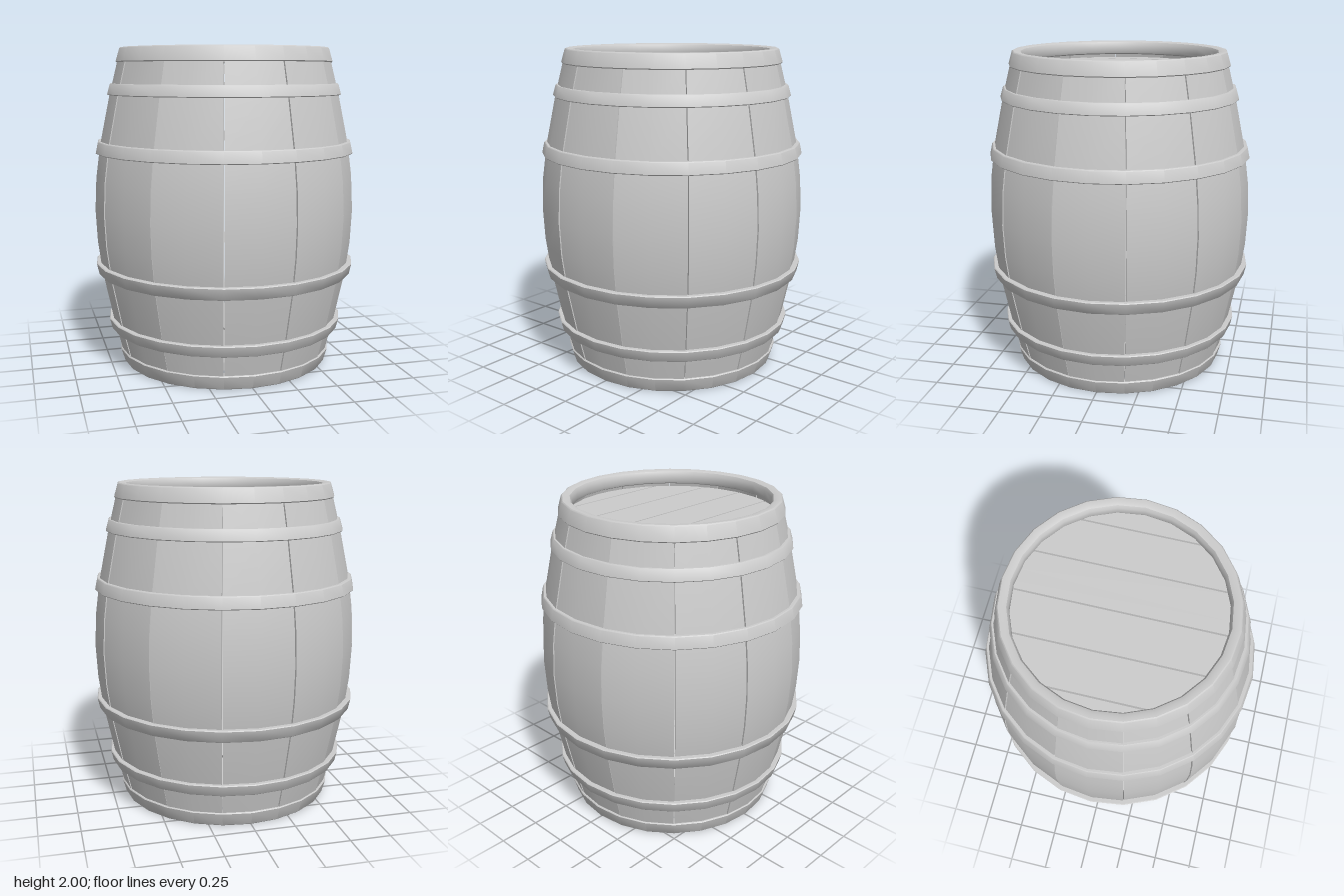
import * as THREE from 'three';
import { toCreasedNormals } from 'three/addons/utils/BufferGeometryUtils.js';

const SIDES = 24;
const STAVES = 12;

export function createModel() {
  const group = new THREE.Group();
  const material = new THREE.MeshStandardMaterial({ color: 0xcccccc });
  const add = (name, geometry) => {
    const mesh = new THREE.Mesh(geometry, material);
    mesh.name = name;
    group.add(mesh);
    return mesh;
  };

  // Barrel belly: outer radius at a distance from mid height
  const belly = [[0, 0.83], [0.2, 0.82], [0.4, 0.793], [0.7, 0.73], [0.95, 0.667]];
  const rows = [...belly.slice(1).reverse().map(([d, r]) => [1 - d, r]), ...belly.map(([d, r]) => [1 + d, r])];

  // Staves: boxes bent around the axis and along the belly
  const thickness = 0.045;
  const halfAngle = Math.PI / STAVES - 0.004;
  for (let i = 0; i < STAVES; i++) {
    const geo = new THREE.BoxGeometry(2, rows.length - 1, 1, 2, rows.length - 1, 1);
    const pos = geo.attributes.position;
    const lift = i % 2 ? 0 : -0.004;
    for (let v = 0; v < pos.count; v++) {
      const row = Math.round(pos.getY(v) + (rows.length - 1) / 2);
      const [y, outer] = rows[row];
      const r = outer + lift - (pos.getZ(v) < 0 ? thickness : 0);
      const a = pos.getX(v) * halfAngle + (i * 2 * Math.PI) / STAVES;
      pos.setXYZ(v, Math.sin(a) * r, y, Math.cos(a) * r);
    }
    geo.computeVertexNormals();
    add('stave', geo);
  }

  // Turned ring from a closed profile
  const ring = (name, profile) => {
    const points = [...profile, profile[0]].map(([r, y]) => new THREE.Vector2(r, y));
    add(name, toCreasedNormals(new THREE.LatheGeometry(points, SIDES), 0.6));
  };

  // Four sloping hoops: bottom y, top y, bottom radius, top radius
  const hoops = [
    [0.225, 0.295, 0.74, 0.755],
    [0.585, 0.66, 0.815, 0.83],
    [1.35, 1.425, 0.82, 0.806],
    [1.71, 1.78, 0.742, 0.725],
  ];
  const b = 0.005;
  for (const [y0, y1, r0, r1] of hoops) {
    ring('hoop', [[r0 - 0.04, y0], [r0 - b, y0], [r0, y0 + b], [r1, y1 - b], [r1 - b, y1], [r1 - 0.04, y1]]);
  }

  // Rounded end rims, mirrored top and bottom
  const rim = [[0.625, 1.91], [0.68, 1.91], [0.685, 1.916], [0.662, 1.994], [0.655, 2],
    [0.63, 2], [0.61, 1.993], [0.6, 1.975], [0.6, 1.935], [0.607, 1.918]];
  ring('topRim', rim);
  ring('bottomRim', rim.map(([r, y]) => [r, 2 - y]).reverse());

  // Recessed heads made of planks running front to back
  const headRadius = 0.632;
  const plank = 0.255;
  const gap = 0.005;
  for (let i = -3; i < 3; i++) {
    const x0 = i * plank + gap;
    const x1 = Math.min((i + 1) * plank - gap, headRadius - 0.002);
    const start = Math.max(x0, -headRadius + 0.002);
    const edge = [];
    for (let k = 0; k <= 6; k++) {
      const x = start + ((x1 - start) * k) / 6;
      edge.push(new THREE.Vector2(x, Math.sqrt(headRadius ** 2 - x * x)));
    }
    const shape = new THREE.Shape([...edge, ...edge.map((p) => new THREE.Vector2(p.x, -p.y)).reverse()]);
    const geo = new THREE.ExtrudeGeometry(shape, { depth: 0.05, bevelEnabled: false });
    geo.rotateX(-Math.PI / 2);
    add('topPlank', geo).position.y = 1.84;
    add('bottomPlank', geo).position.y = 0.11;
  }

  return group;
}
